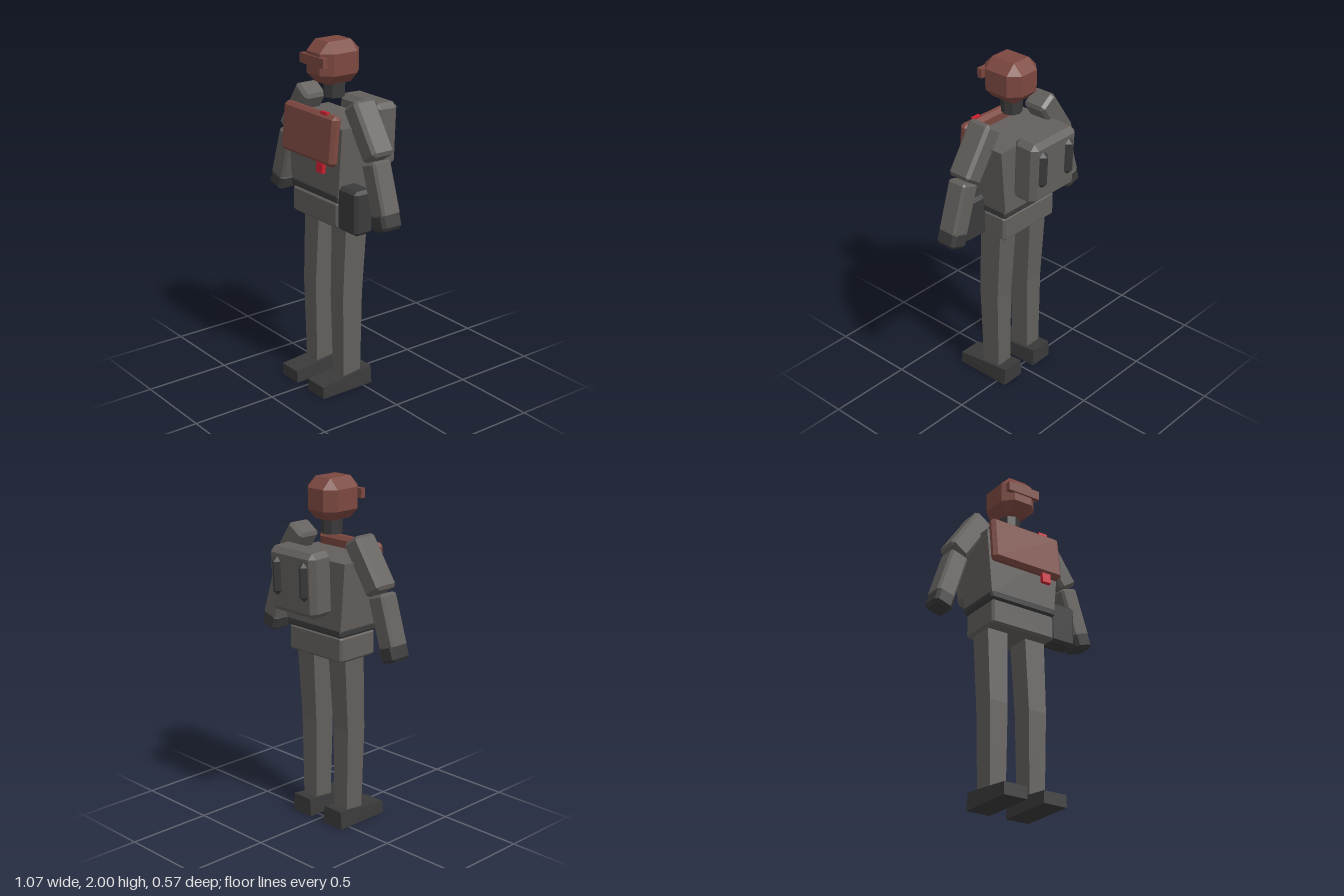
import * as THREE from 'three';
import { ConvexGeometry } from 'three/addons/geometries/ConvexGeometry.js';

const material = (name, color) => {
  const m = new THREE.MeshStandardMaterial({ color });
  m.name = name;
  return m;
};

// Box with every edge cut flat by the bevel b
function chamferBox(w, h, d, b) {
  const pts = [];
  for (const sx of [-1, 1]) for (const sy of [-1, 1]) for (const sz of [-1, 1]) {
    const x = w / 2, y = h / 2, z = d / 2;
    pts.push(new THREE.Vector3(sx * x, sy * (y - b), sz * (z - b)));
    pts.push(new THREE.Vector3(sx * (x - b), sy * y, sz * (z - b)));
    pts.push(new THREE.Vector3(sx * (x - b), sy * (y - b), sz * z));
  }
  return new ConvexGeometry(pts);
}

// Solid between two rectangles, each [y, x0, x1, z0, z1]
function taperBox(...rings) {
  const pts = [];
  for (const [y, x0, x1, z0, z1] of rings)
    for (const x of [x0, x1]) for (const z of [z0, z1]) pts.push(new THREE.Vector3(x, y, z));
  return new ConvexGeometry(pts);
}

export function createModel() {
  const grey = material('cloth grey', 0x625f5c);
  const dark = material('dark grey', 0x3a3a3a);
  const brown = material('red brown', 0x7c4840);
  const red = material('tag red', 0xc8202f);

  const model = new THREE.Group();
  model.name = 'armouredFigure';
  const add = (name, geometry, mat, x = 0, y = 0, z = 0, parent = model) => {
    const mesh = new THREE.Mesh(geometry, mat);
    mesh.name = name;
    mesh.position.set(x, y, z);
    parent.add(mesh);
    return mesh;
  };

  // Head and neck
  add('head', chamferBox(0.23, 0.233, 0.265, 0.057), brown, 0, 1.883, 0.062);
  add('visor', new THREE.BoxGeometry(0.21, 0.054, 0.03), brown, 0, 1.899, 0.191);
  const neck = new THREE.CylinderGeometry(0.062, 0.058, 0.085, 8).toNonIndexed();
  neck.computeVertexNormals();
  add('neck', neck, dark, 0, 1.727, 0.055);

  // Trunk
  add('torso', taperBox([1.572, -0.247, 0.247, -0.093, 0.19], [1.18, -0.212, 0.212, -0.088, 0.19]), grey);
  add('belt', chamferBox(0.434, 0.052, 0.285, 0.012), dark, 0, 1.174, 0.053);
  add('hips', chamferBox(0.415, 0.15, 0.268, 0.014), grey, 0, 1.076, 0.058);
  add('pouch', chamferBox(0.17, 0.25, 0.12, 0.018), dark, 0.277, 1.125, 0.126);

  // Chest plate with its tag, leaning back at the top
  const chest = new THREE.Group();
  chest.name = 'chestArmour';
  chest.position.set(-0.002, 1.502, 0.212);
  chest.rotation.x = -0.1;
  model.add(chest);
  add('chestPlate', chamferBox(0.465, 0.275, 0.06, 0.02), brown, 0, 0, 0, chest);
  add('tag', new THREE.BoxGeometry(0.056, 0.333, 0.022), red, 0.123, -0.022, 0.008, chest);

  // Backpack with two ridged strips
  const pack = new THREE.Group();
  pack.name = 'backpack';
  pack.position.set(0, 1.458, -0.179);
  pack.rotation.x = -0.04;
  model.add(pack);
  add('packBody', chamferBox(0.35, 0.362, 0.158, 0.03), grey, 0, 0, 0, pack);
  for (const s of [-1, 1])
    add('packStrip', chamferBox(0.076, 0.228, 0.07, 0.032), dark, s * 0.104, 0.025, -0.07, pack);

  // Limbs, mirrored
  for (const s of [-1, 1]) {
    const side = s > 0 ? 'left' : 'right';
    add(side + 'UpperArm', chamferBox(0.125, 0.32, 0.146, 0.018), grey, s * 0.298, 1.555, 0.05)
      .rotation.z = s * 0.59;
    add(side + 'Forearm', chamferBox(0.115, 0.3, 0.122, 0.014), grey, s * 0.42, 1.265, 0.063)
      .rotation.z = s * 0.31;
    add(side + 'Hand', chamferBox(0.115, 0.1, 0.132, 0.018), dark, s * 0.468, 1.1, 0.065)
      .rotation.z = s * 0.31;

    const knee = [0.575, s * 0.07, s * 0.185, 0.002, 0.135];
    add(side + 'Thigh', taperBox([1.01, s * 0.06, s * 0.19, -0.027, 0.118], knee), grey);
    add(side + 'Shin', taperBox(knee, [0.08, s * 0.076, s * 0.177, 0.006, 0.125]), grey);

    // Wedge boot, higher at the heel
    const boot = [];
    for (const [y, z, x0, x1] of [[0, -0.06, 0.052, 0.2], [0, 0.285, 0.052, 0.2],
      [0.105, -0.06, 0.06, 0.192], [0.07, 0.285, 0.055, 0.198]])
      for (const x of [x0, x1]) boot.push(new THREE.Vector3(s * x, y, z));
    add(side + 'Boot', new ConvexGeometry(boot), dark);
  }
  return model;
}
